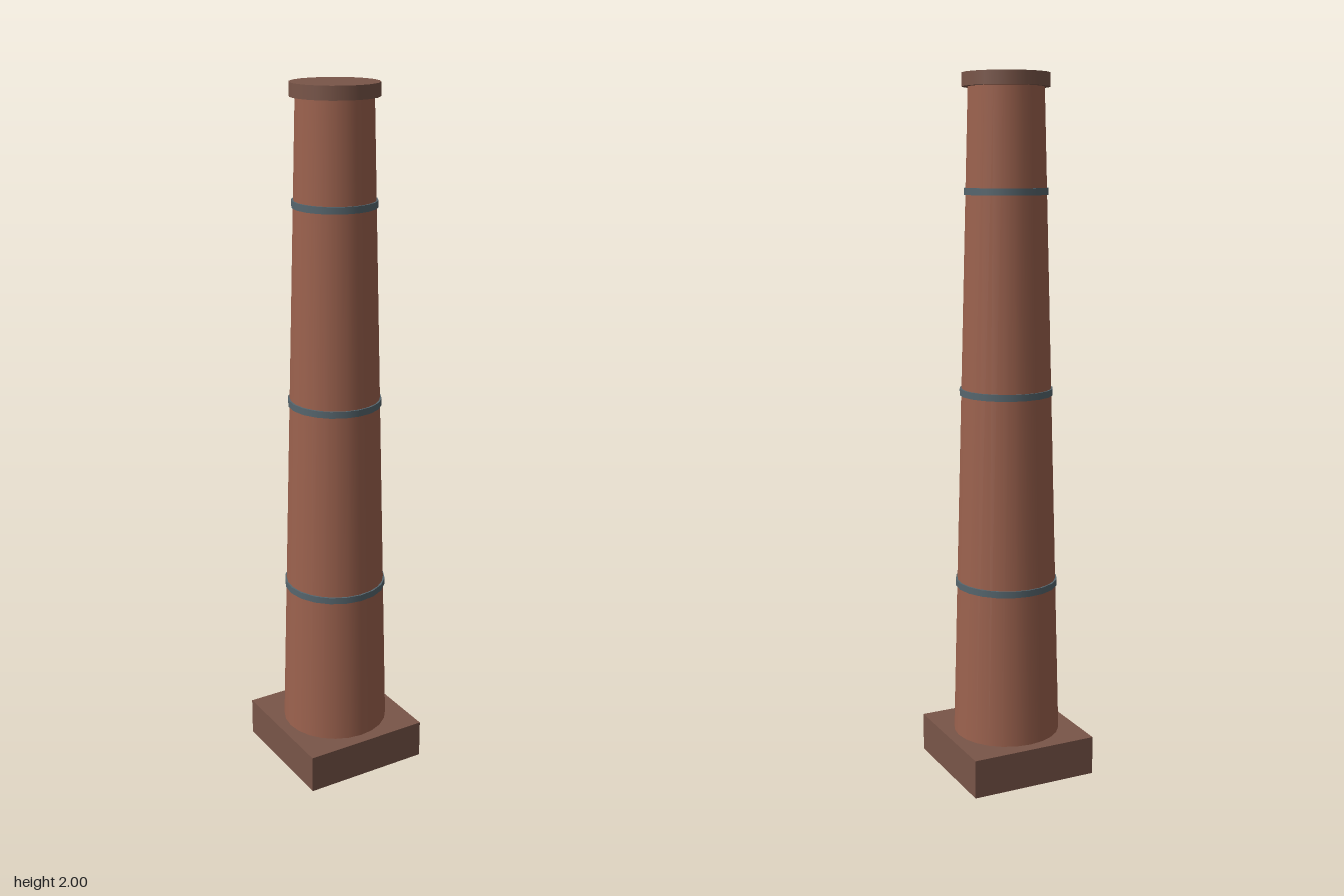
import * as THREE from 'three';

export function createModel() {
  const group = new THREE.Group();
  const material = (name, color) => {
    const m = new THREE.MeshStandardMaterial({ color });
    m.name = name;
    return m;
  };
  const brick = material('brick', 0x9c624e);
  const stone = material('brown stone', 0x795548);
  const steel = material('grey steel', 0x56666e);

  const add = (name, geometry, mat, y) => {
    const mesh = new THREE.Mesh(geometry, mat);
    mesh.name = name;
    mesh.position.y = y;
    group.add(mesh);
  };

  // Square plinth
  const baseHeight = 0.112;
  add('base', new THREE.BoxGeometry(0.377, baseHeight, 0.377), stone, baseHeight / 2);

  // Tapered shaft, running up into the cap
  const bottomRadius = 0.155, topRadius = 0.105, top = 1.98;
  const shaftHeight = top - baseHeight;
  add('shaft', new THREE.CylinderGeometry(topRadius, bottomRadius, shaftHeight, 24),
    brick, baseHeight + shaftHeight / 2);

  // Steel bands, each just proud of the shaft
  for (const y of [0.564, 1.123, 1.682]) {
    const t = (y - baseHeight) / shaftHeight;
    const radius = THREE.MathUtils.lerp(bottomRadius, topRadius, t) + 0.005;
    add('band', new THREE.CylinderGeometry(radius, radius, 0.019, 20), steel, y);
  }

  // Flat cap
  add('cap', new THREE.CylinderGeometry(0.122, 0.122, 0.037, 20), stone, 1.9815);

  return group;
}
